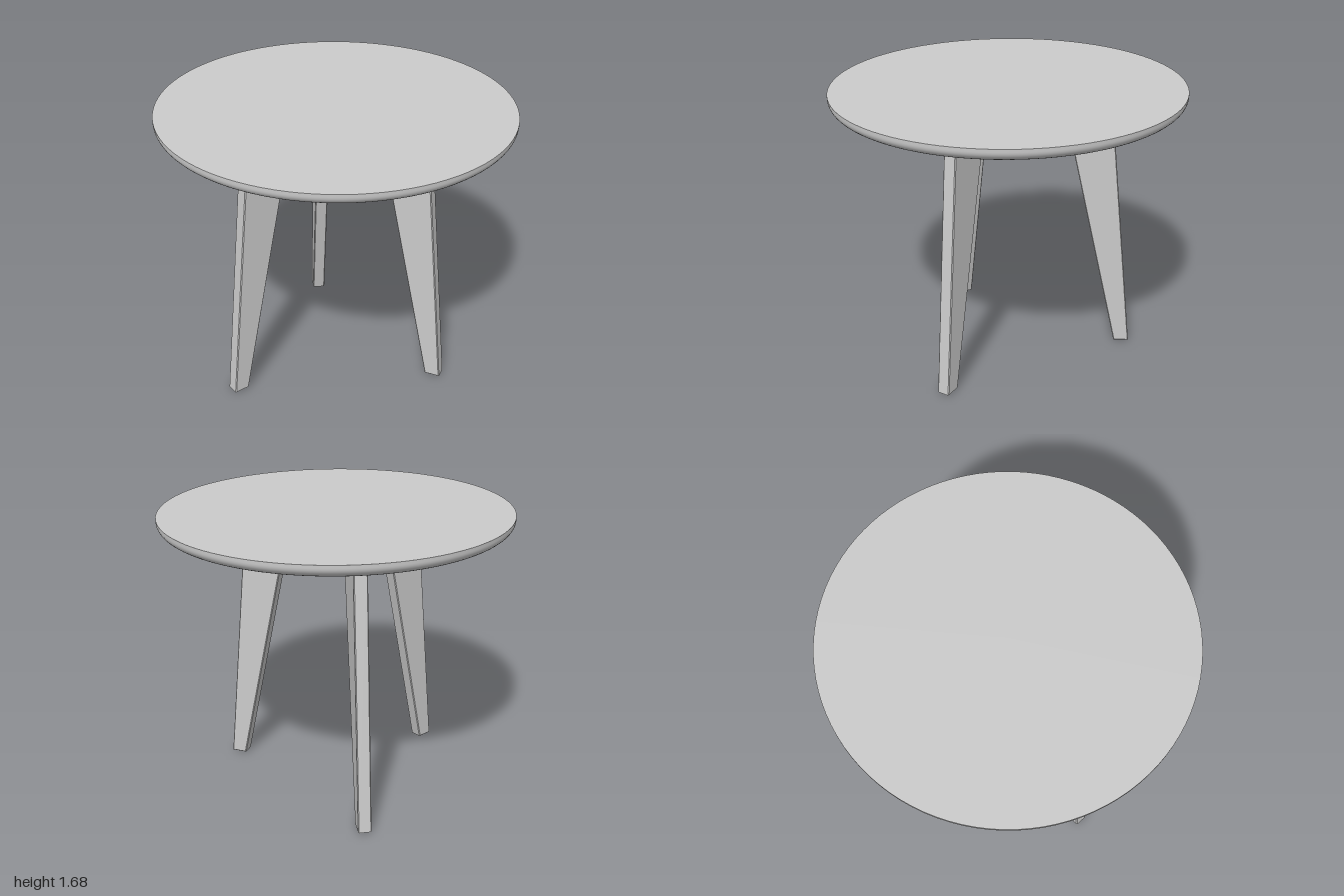
import * as THREE from 'three';
import { toCreasedNormals } from 'three/addons/utils/BufferGeometryUtils.js';

const material = new THREE.MeshStandardMaterial({ color: 0xcccccc });

function part(name, geometry) {
  const mesh = new THREE.Mesh(geometry, material);
  mesh.name = name;
  return mesh;
}

function polygon(points) {
  return new THREE.Shape(points.map(([x, y]) => new THREE.Vector2(x, y)));
}

// Round top: flat above, sharp upper rim, rounded under edge
function tabletopGeometry() {
  const bottom = 1.585, top = 1.662, rx = 0.085, ry = 0.06;
  const profile = [new THREE.Vector2(0, bottom)];
  for (let i = 0; i <= 10; i++) {
    const a = (i / 10) * Math.PI / 2;
    profile.push(new THREE.Vector2(1 - rx + rx * Math.sin(a), bottom + ry - ry * Math.cos(a)));
  }
  profile.push(new THREE.Vector2(1, top), new THREE.Vector2(0, top));
  return toCreasedNormals(new THREE.LatheGeometry(profile, 96), 0.6);
}

// Tapered, splayed leg: side outline in (radius, height), extruded across
function legGeometry() {
  const width = 0.077, bevel = 0.005;
  const outline = polygon([[0.647, 0], [0.739, 0], [0.584, 1.535], [0.31, 1.535]]);
  const geometry = new THREE.ExtrudeGeometry(outline, {
    depth: width - 2 * bevel, bevelEnabled: true, bevelSegments: 1,
    bevelThickness: bevel, bevelSize: bevel, bevelOffset: -bevel,
  });
  return geometry.translate(0, 0, bevel - width / 2);
}

// Trapezoid mounting plate, narrow toward the centre
function plateGeometry() {
  const outline = polygon([[0.242, -0.06], [0.597, -0.26], [0.597, 0.26], [0.242, 0.06]]);
  const geometry = new THREE.ExtrudeGeometry(outline, { depth: 0.057, bevelEnabled: false });
  return geometry.rotateX(Math.PI / 2).translate(0, 1.587, 0);
}

export function createModel() {
  const model = new THREE.Group();
  model.name = 'roundTable';

  // The whole table leans very slightly to one side
  const table = new THREE.Group();
  table.name = 'table';
  table.position.y = 0.006;
  table.rotation.z = -0.0085;
  model.add(table);

  const tabletop = part('tabletop', tabletopGeometry());
  tabletop.position.x = -0.014;
  table.add(tabletop);

  // Three legs with plates, 120 degrees apart
  const leg = legGeometry(), plate = plateGeometry();
  for (let i = 0; i < 3; i++) {
    const assembly = new THREE.Group();
    assembly.name = 'legAssembly' + (i + 1);
    assembly.position.set(-0.037, 0, 0.013);
    assembly.rotation.y = THREE.MathUtils.degToRad(16.7 - 120 * i);
    assembly.add(part('leg', leg), part('mountingPlate', plate));
    table.add(assembly);
  }
  return model;
}
